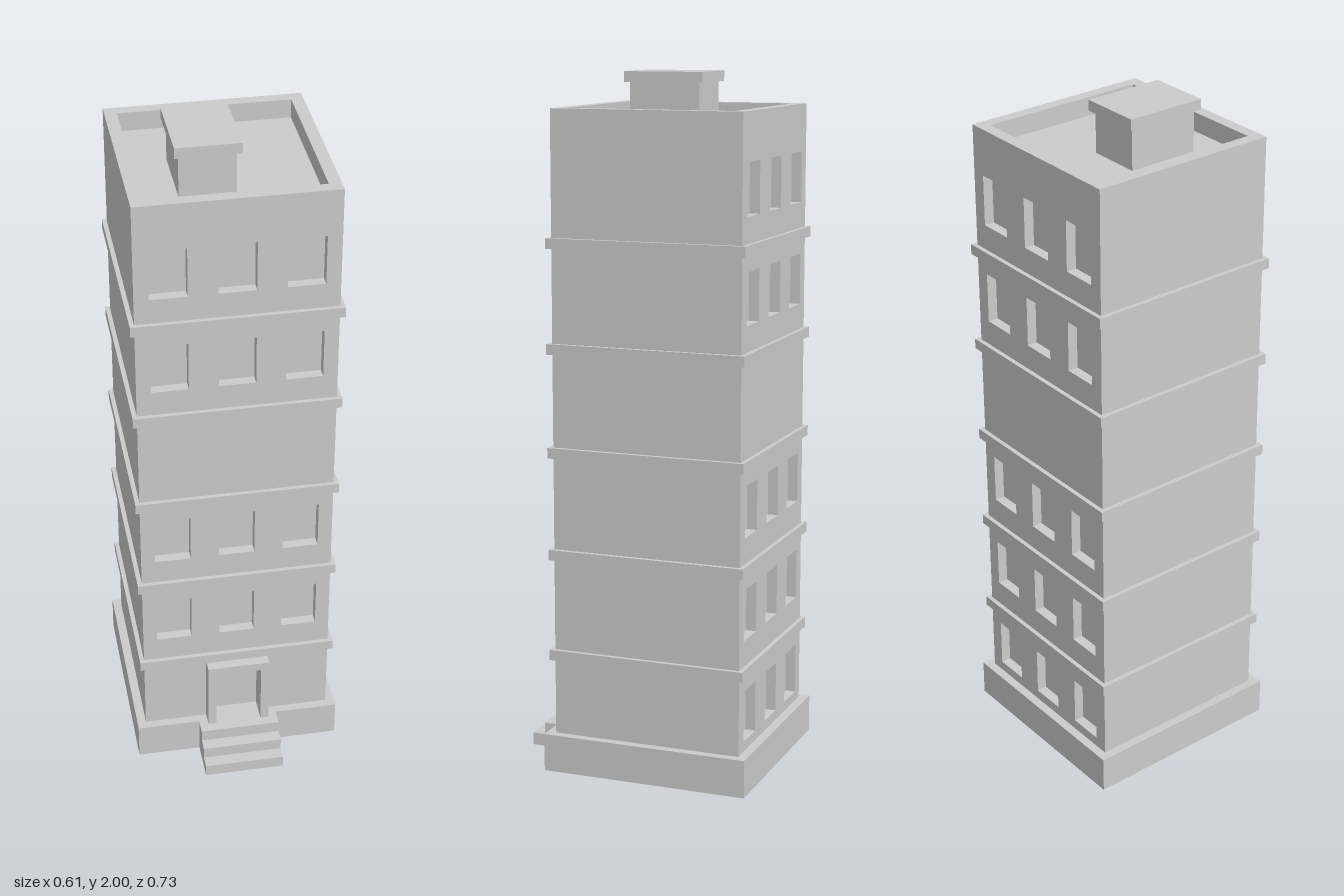
import * as THREE from 'three';

const material = new THREE.MeshStandardMaterial({ color: 0xcccccc, flatShading: true });
const CZ = -0.061;      // centre of the tower in z
const HALF = 0.28;      // half width of the tower
const BASE = 0.11, ROOF = 1.85, TOP = 1.905;
const RECESS = 0.03;    // depth of the window openings

function add(parent, name, geometry, x = 0, y = 0, z = 0) {
  const mesh = new THREE.Mesh(geometry, material);
  mesh.name = name;
  mesh.position.set(x, y, z);
  parent.add(mesh);
  return mesh;
}

// Box given by its x, y and z ranges
function block(parent, name, [x0, x1], [y0, y1], [z0, z1]) {
  return add(parent, name, new THREE.BoxGeometry(x1 - x0, y1 - y0, z1 - z0),
    (x0 + x1) / 2, (y0 + y1) / 2, (z0 + z1) / 2);
}

function rectangle(Type, x0, y0, x1, y1) {
  return new Type([[x0, y0], [x1, y0], [x1, y1], [x0, y1]].map(p => new THREE.Vector2(...p)));
}

// Wall panel with three windows on each listed floor
function facade(floors, door) {
  const shape = door
    ? new THREE.Shape([[-HALF, BASE], [-0.068, BASE], [-0.068, 0.306], [0.068, 0.306], [0.068, BASE],
      [HALF, BASE], [HALF, ROOF], [-HALF, ROOF]].map(p => new THREE.Vector2(...p)))
    : rectangle(THREE.Shape, -HALF, BASE, HALF, ROOF);
  for (const floor of floors) {
    const y = 0.14 + floor * 0.2965;
    for (const x of [-0.187, 0, 0.187]) {
      shape.holes.push(rectangle(THREE.Path, x - 0.052, y, x + 0.052, y + 0.147));
    }
  }
  return new THREE.ExtrudeGeometry(shape, { depth: RECESS, bevelEnabled: false });
}

export function createModel() {
  const model = new THREE.Group();
  model.name = 'towerBuilding';
  const around = h => [[-h, h], [CZ - h, CZ + h]];

  // Plinth and solid core
  const [px, pz] = around(0.306);
  block(model, 'plinth', px, [0, BASE], pz);
  block(model, 'core', [-HALF, HALF], [BASE, ROOF], [CZ - HALF + RECESS, CZ + HALF - RECESS]);

  // Windowed walls; the third upper storey is blank
  add(model, 'frontWall', facade([1, 2, 4, 5], true), 0, 0, CZ + HALF - RECESS);
  add(model, 'backWall', facade([0, 1, 2, 4, 5], false), 0, 0, CZ - HALF + RECESS).rotation.y = Math.PI;

  // Bands between storeys
  const [bx, bz] = around(0.293);
  for (let i = 0; i < 5; i++) {
    const y = 0.332 + i * 0.2968;
    block(model, 'storeyBand', bx, [y, y + 0.03], bz);
  }

  // Parapet around the sunken roof
  const ring = rectangle(THREE.Shape, -HALF, -HALF, HALF, HALF);
  ring.holes.push(rectangle(THREE.Path, -0.245, -0.245, 0.245, 0.245));
  const parapet = new THREE.ExtrudeGeometry(ring, { depth: TOP - ROOF, bevelEnabled: false });
  add(model, 'parapet', parapet, 0, ROOF, CZ).rotation.x = -Math.PI / 2;

  // Roof hut with overhanging cap
  block(model, 'roofHut', [-0.136, 0.02], [ROOF, 1.97], [-0.122, 0.088]);
  block(model, 'roofHutCap', [-0.148, 0.033], [1.97, 2], [-0.135, 0.101]);

  // Door surround
  const surround = new THREE.Shape([[-0.093, BASE], [-0.068, BASE], [-0.068, 0.306], [0.068, 0.306],
    [0.068, BASE], [0.093, BASE], [0.093, 0.332], [-0.093, 0.332]].map(p => new THREE.Vector2(...p)));
  add(model, 'doorSurround', new THREE.ExtrudeGeometry(surround, { depth: 0.043, bevelEnabled: false }),
    0, 0, CZ + HALF);

  // Entrance steps, extruded sideways from their profile
  const steps = new THREE.Shape([[0.24, 0], [0.367, 0], [0.367, 0.037], [0.329, 0.037], [0.329, 0.073],
    [0.291, 0.073], [0.291, BASE], [0.24, BASE]].map(([z, y]) => new THREE.Vector2(-z, y)).reverse());
  add(model, 'entranceSteps', new THREE.ExtrudeGeometry(steps, { depth: 0.238, bevelEnabled: false }),
    -0.119, 0, 0).rotation.y = Math.PI / 2;

  return model;
}
